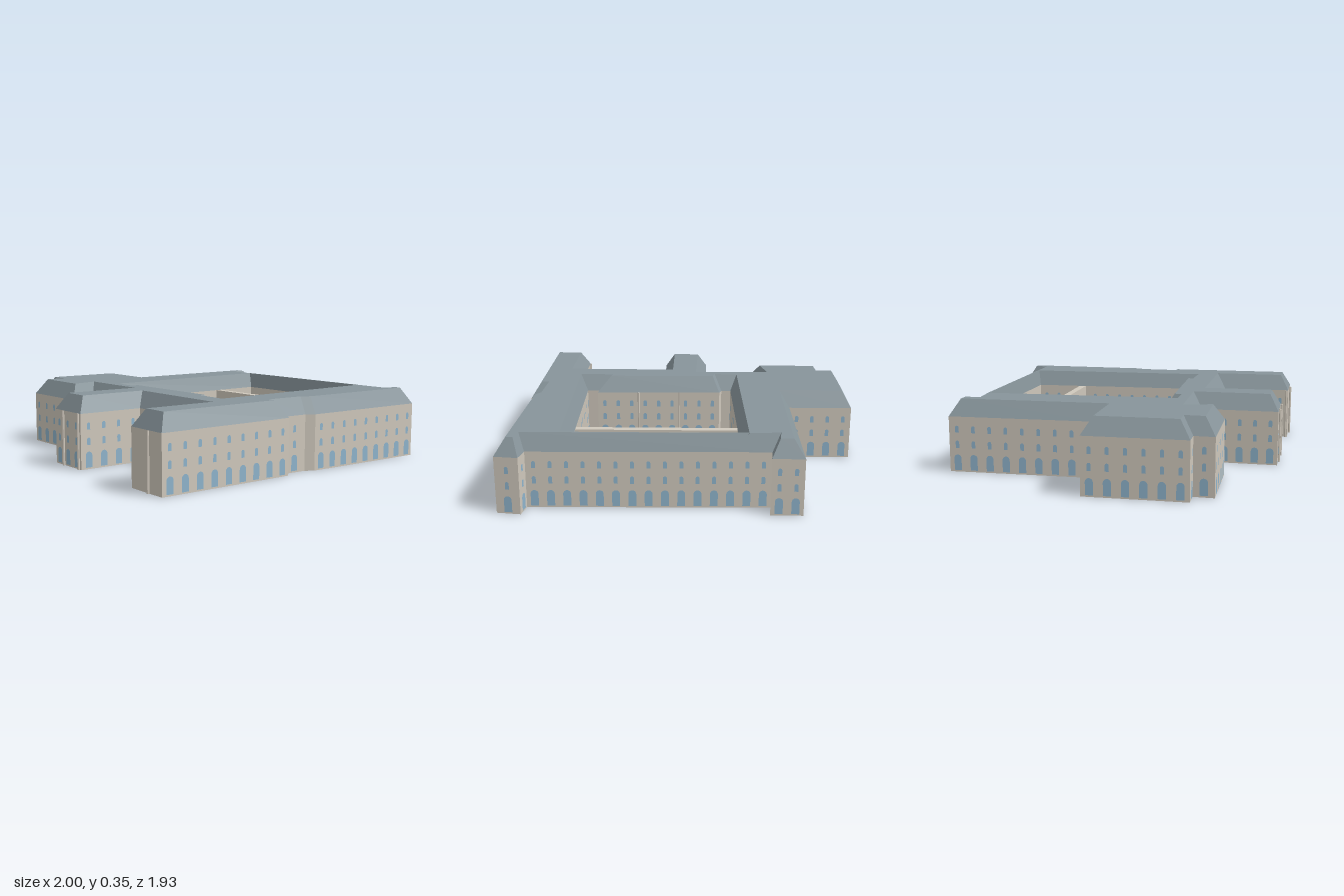
import * as THREE from 'three';
import { mergeGeometries } from 'three/addons/utils/BufferGeometryUtils.js';

const EAVE = 0.27, TOP = 0.35, INSET = 0.05, PITCH = 0.073;

// Eave corners [x, z, roof inset of the edge that starts here, 1 = blank wall]; the solid lies on the right.
const outer = [
  [-0.30, -0.97, 0.045], [-0.16, -0.92, 0.035], [-0.195, -0.845, 0.038], [0.86, -0.50, 0.035],
  [0.90, -0.57, 0.045], [1.0, -0.52], [0.753, 0.12], [0.715, 0.15], [0.665, 0.275],
  [0.70, 0.29], [0.46, 0.965, 0.045, 1], [0.245, 0.885], [0.367, 0.548], [-0.072, 0.39],
  [-0.185, 0.71, 0.045], [-0.41, 0.63], [-0.275, 0.275], [-0.54, 0.185], [-0.555, 0.325],
  [-0.95, 0.19], [-0.913, 0.10], [-1.0, 0.07], [-0.838, -0.383], [-0.538, -0.28],
];
const court = [
  [-0.08, -0.755, 0.035], [-0.356, 0.09], [-0.31, 0.107], [-0.287, 0.077], [0.34, 0.285],
  [0.32, 0.31], [0.383, 0.335, 0.04], [0.655, -0.50, 0.02, 1],
];

// Move every edge of a loop into the solid by its own inset and intersect neighbours
function insetLoop(loop) {
  const lines = loop.map((p, i) => {
    const q = loop[(i + 1) % loop.length];
    const d = new THREE.Vector2(q[0] - p[0], q[1] - p[1]).normalize();
    const k = p[2] ?? INSET;
    return { x: p[0] - d.y * k, z: p[1] + d.x * k, d };
  });
  return lines.map((b, i) => {
    const a = lines[(i + lines.length - 1) % lines.length];
    const t = ((b.x - a.x) * b.d.y - (b.z - a.z) * b.d.x) / a.d.cross(b.d);
    return [a.x + a.d.x * t, a.z + a.d.y * t];
  });
}

// Ring of quads between two matching loops
function band(low, y0, high, y1) {
  const pos = [];
  low.forEach((a, i) => {
    const j = (i + 1) % low.length, b = low[j], c = high[j], d = high[i];
    const A = [a[0], y0, a[1]], B = [b[0], y0, b[1]], C = [c[0], y1, c[1]], D = [d[0], y1, d[1]];
    pos.push(...A, ...D, ...C, ...A, ...C, ...B);
  });
  const g = new THREE.BufferGeometry();
  g.setAttribute('position', new THREE.Float32BufferAttribute(pos, 3));
  g.computeVertexNormals();
  return g;
}

// Flat plate with the courtyard cut out; dir = 1 faces up, -1 faces down
function cap(loop, hole, y, dir) {
  const pts = (l) => l.map((p) => new THREE.Vector2(p[0], -dir * p[1]));
  const s = new THREE.Shape(pts(loop));
  s.holes.push(new THREE.Path(pts(hole)));
  return new THREE.ShapeGeometry(s).rotateX(-dir * Math.PI / 2).translate(0, y, 0);
}

// Round-headed window standing on its sill at height y
function archWindow(w, h, y) {
  const s = new THREE.Shape();
  s.moveTo(-w / 2, 0);
  s.lineTo(w / 2, 0);
  s.lineTo(w / 2, h - w / 2);
  s.absarc(0, h - w / 2, w / 2, 0, Math.PI, false);
  return new THREE.ShapeGeometry(s, 5).translate(0, y, 0.002);
}

export function createModel() {
  const group = new THREE.Group();
  const material = (color) => new THREE.MeshStandardMaterial({ color, flatShading: true });
  const wallMat = material(0xcfc8bc), roofMat = material(0x87949a), glassMat = material(0x8fb4cc);
  const add = (name, geo, mat) => {
    const m = new THREE.Mesh(geo, mat);
    m.name = name;
    group.add(m);
    return m;
  };

  // Walls and floor plate
  add('outerWalls', band(outer, 0, outer, EAVE), wallMat);
  add('courtyardWalls', band(court, 0, court, EAVE), wallMat);
  add('floorPlate', cap(outer, court, 0, -1), wallMat);

  // Sloping roof edges and flat roof
  const outerTop = insetLoop(outer), courtTop = insetLoop(court);
  add('outerRoofSlope', band(outer, EAVE, outerTop, TOP), roofMat);
  add('courtyardRoofSlope', band(court, EAVE, courtTop, TOP), roofMat);
  add('flatRoof', cap(outerTop, courtTop, TOP, 1), roofMat);

  // Three rows of windows along each wall
  const column = mergeGeometries([
    archWindow(0.036, 0.077, 0.008),
    archWindow(0.018, 0.036, 0.117),
    archWindow(0.018, 0.034, 0.192),
  ]);
  const windows = [];
  for (const loop of [outer, court]) {
    loop.forEach((a, i) => {
      const b = loop[(i + 1) % loop.length];
      const dx = b[0] - a[0], dz = b[1] - a[1];
      const n = Math.floor(Math.hypot(dx, dz) / PITCH);
      if (a[3]) return;
      for (let k = 0; k < n; k++) {
        const t = (k + 0.5) / n;
        windows.push(column.clone().rotateY(Math.atan2(dz, -dx)).translate(a[0] + dx * t, 0, a[1] + dz * t));
      }
    });
  }
  add('windows', mergeGeometries(windows), glassMat);

  // Wall crossing the courtyard
  const from = new THREE.Vector2(-0.17, -0.515), to = new THREE.Vector2(0.60, -0.25);
  const span = to.clone().sub(from);
  const cross = add('courtyardCrossWall', new THREE.BoxGeometry(span.length(), EAVE, 0.036), wallMat);
  cross.position.set((from.x + to.x) / 2, EAVE / 2, (from.y + to.y) / 2);
  cross.rotation.y = -Math.atan2(span.y, span.x);

  // Drainpipes
  const pipes = [[-0.335, 0.662], [-0.2, 0.712], [0.245, 0.875], [0.37, 0.938], [0.04, 0.436], [0.235, 0.507], [-0.08, 0.15], [0.13, 0.212]];
  for (const [x, z] of pipes) {
    add('drainpipe', new THREE.CylinderGeometry(0.006, 0.006, EAVE, 6), wallMat).position.set(x, EAVE / 2, z);
  }
  return group;
}
